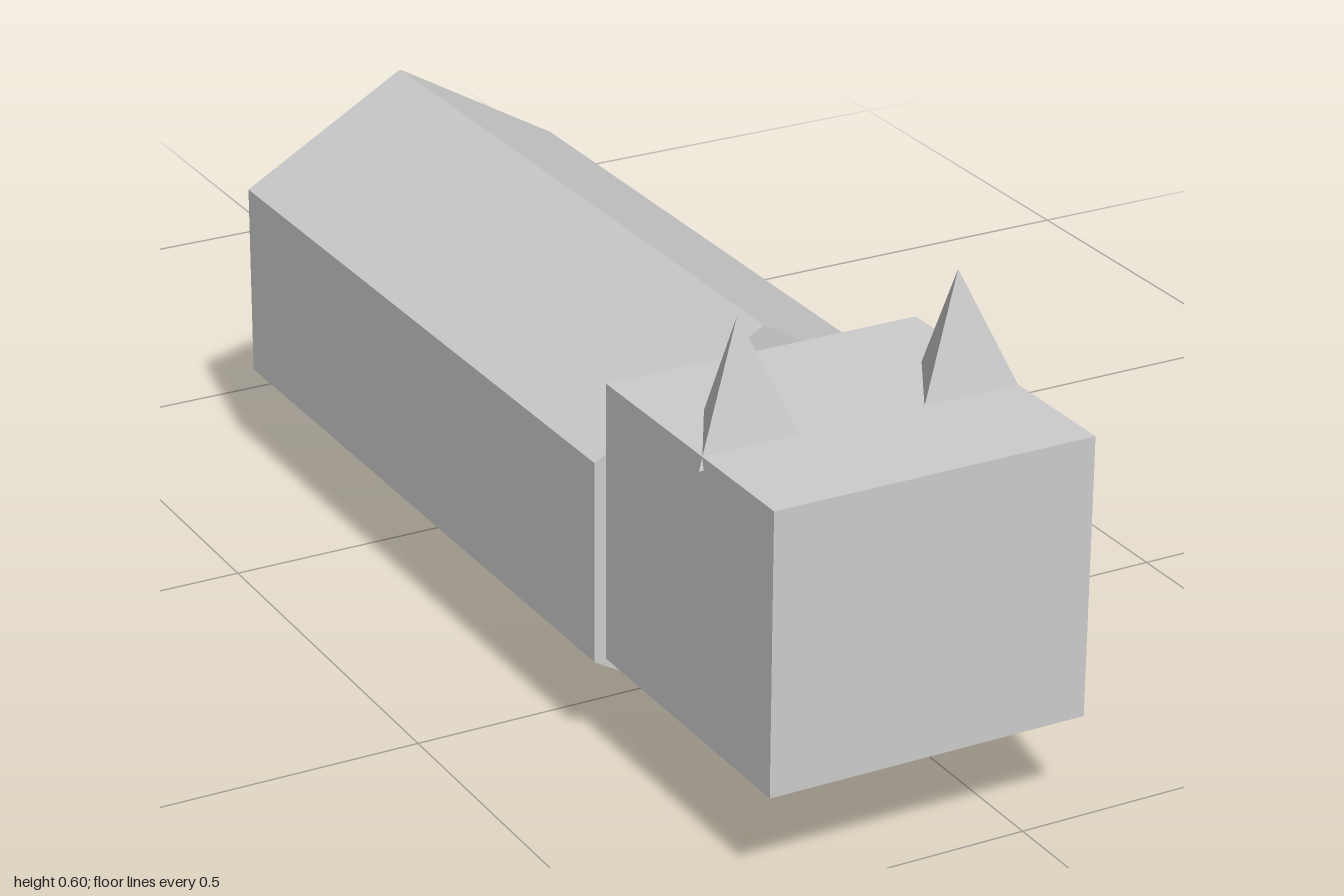
import * as THREE from 'three';

export function createModel() {
  const model = new THREE.Group();
  const grey = new THREE.MeshStandardMaterial({ color: 0xcccccc, flatShading: true });
  grey.name = 'light grey';
  const centreX = -0.125;

  function add(name, geometry, x = 0, y = 0, z = 0) {
    const mesh = new THREE.Mesh(geometry, grey);
    mesh.name = name;
    mesh.position.set(x, y, z);
    model.add(mesh);
    return mesh;
  }

  // Six-sided body lying along z, with a ridge on top and below
  const bodyRadius = 0.2475;
  add('body', new THREE.CylinderGeometry(bodyRadius, bodyRadius, 0.927, 6).rotateX(Math.PI / 2),
    centreX, bodyRadius, 0.1655);

  // Box head
  add('head', new THREE.BoxGeometry(0.4, 0.34, 0.371), centreX, 0.295, 0.8145);

  // Three-sided ears with the flat side to the front
  for (const side of [-1, 1]) {
    add(side < 0 ? 'rightEar' : 'leftEar',
      new THREE.ConeGeometry(0.0775, 0.153, 3).rotateY(Math.PI),
      centreX + side * 0.139, 0.5265, 0.811);
  }

  // Square tapered tail, swung to the left and rolled a little about its axis
  const root = new THREE.Vector3(centreX, 0.172, -0.297);
  const tip = new THREE.Vector3(0.308, 0.078, -0.978);
  const axis = tip.clone().sub(root);
  const length = axis.length();
  axis.normalize();
  const across = new THREE.Vector3().crossVectors(axis, new THREE.Vector3(0, 1, 0)).normalize();
  const edge = new THREE.Vector3().crossVectors(across, axis).applyAxisAngle(axis, THREE.MathUtils.degToRad(11));
  const tail = add('tail', new THREE.CylinderGeometry(0.036, 0.06, length, 4));
  tail.position.copy(root).lerp(tip, 0.5);
  tail.quaternion.setFromRotationMatrix(
    new THREE.Matrix4().makeBasis(new THREE.Vector3().crossVectors(axis, edge), axis, edge));

  return model;
}
